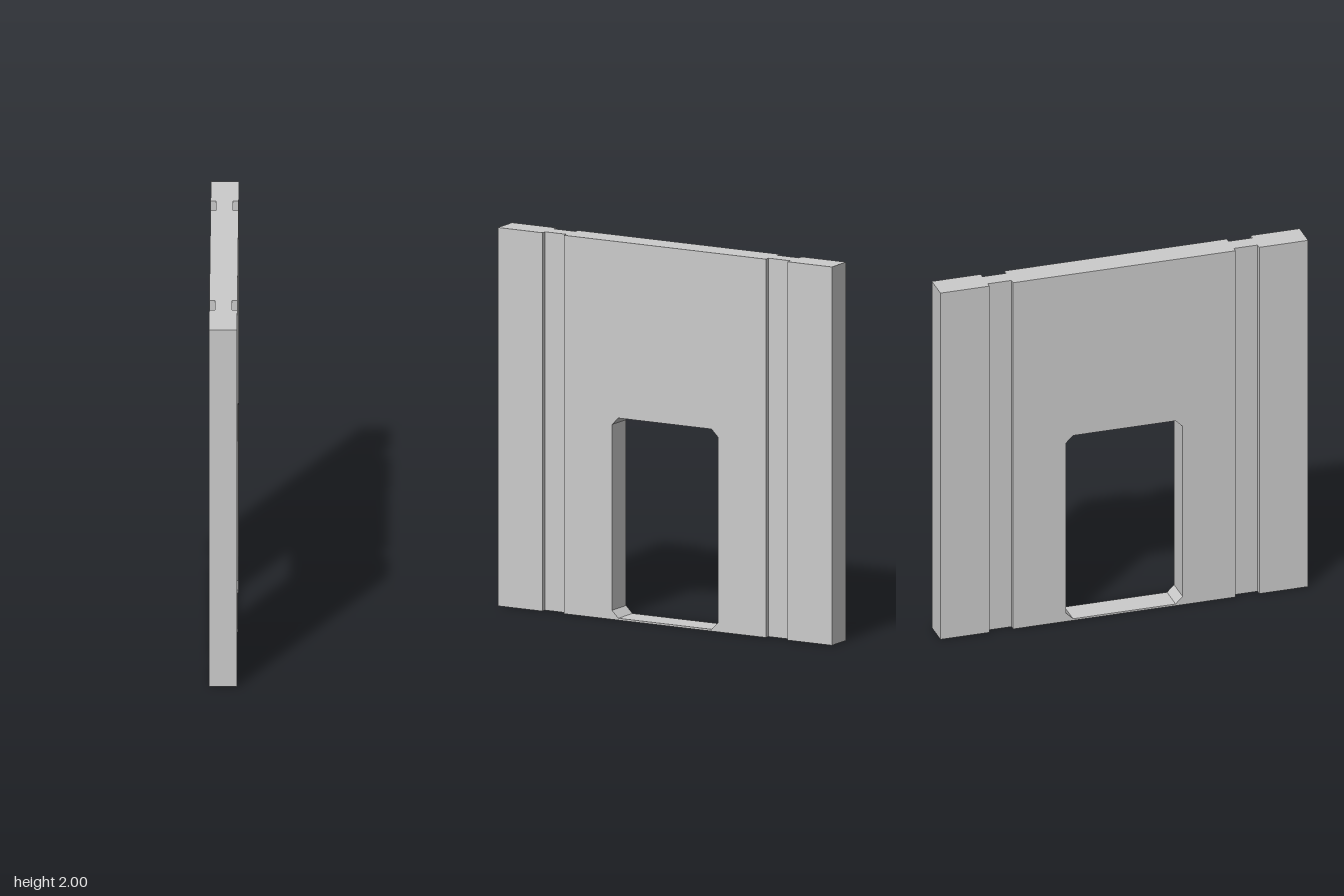
import * as THREE from 'three';

const HALF = 0.0725;      // half thickness of the slab
const WEB = 0.044;        // half thickness inside the grooves
const HEIGHT = 2;
const GROOVE_IN = 0.605, GROOVE_OUT = 0.734, EDGE = 1;

const toPoints = (list) => list.map(([x, y]) => new THREE.Vector2(x, y));

export function createModel() {
  const group = new THREE.Group();
  const material = new THREE.MeshStandardMaterial({ color: 0xcccccc, flatShading: true });

  const add = (name, geometry) => {
    const mesh = new THREE.Mesh(geometry, material);
    mesh.name = name;
    group.add(mesh);
  };

  // Central wall panel with a chamfered doorway
  const panel = new THREE.Shape(toPoints([
    [-GROOVE_IN, 0], [GROOVE_IN, 0], [GROOVE_IN, HEIGHT], [-GROOVE_IN, HEIGHT],
  ]));
  const w = 0.317, c = 0.038, bottom = 0.01, top = 1.068;
  panel.holes.push(new THREE.Path(toPoints([
    [-w, bottom + c], [-w, top - c], [-w + c, top], [w - c, top],
    [w, top - c], [w, bottom + c], [w - c, bottom], [-w + c, bottom],
  ])));
  const panelGeometry = new THREE.ExtrudeGeometry(panel, { depth: 2 * HALF, bevelEnabled: false });
  panelGeometry.translate(0, 0, -HALF).rotateY(Math.PI / 2);
  add('doorwayPanel', panelGeometry);

  // End posts: plan profile with the thin web at the vertical grooves
  for (const [name, s] of [['frontGroovedPost', -1], ['backGroovedPost', 1]]) {
    const profile = new THREE.Shape(toPoints([
      [-WEB, s * GROOVE_IN], [WEB, s * GROOVE_IN], [WEB, s * GROOVE_OUT], [HALF, s * GROOVE_OUT],
      [HALF, s * EDGE], [-HALF, s * EDGE], [-HALF, s * GROOVE_OUT], [-WEB, s * GROOVE_OUT],
    ]));
    const post = new THREE.ExtrudeGeometry(profile, { depth: HEIGHT, bevelEnabled: false });
    add(name, post.rotateX(-Math.PI / 2));
  }

  return group;
}
